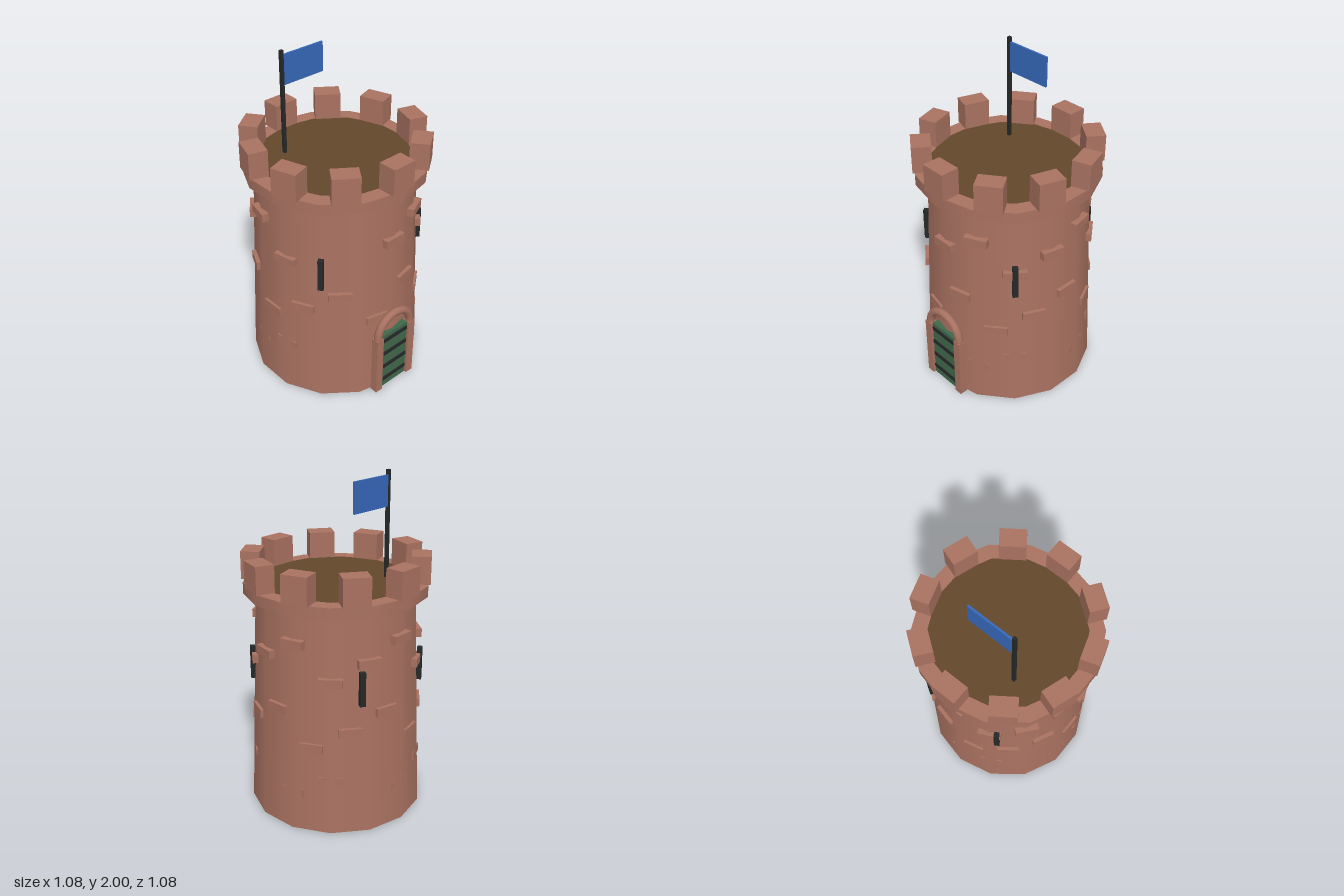
import * as THREE from 'three';

const SIDES = 14;
const STEP = (Math.PI * 2) / SIDES;

function material(name, color) {
  const m = new THREE.MeshStandardMaterial({ color });
  m.name = name;
  return m;
}

export function createModel() {
  const brick = material('brick', 0xa97261);
  const wood = material('floor brown', 0x634729);
  const green = material('door green', 0x40684a);
  const black = material('iron black', 0x262828);
  const blue = material('flag blue', 0x3668ba);

  const tower = new THREE.Group();
  tower.name = 'tower';

  function add(name, geometry, mat, x = 0, y = 0, z = 0, parent = tower) {
    const mesh = new THREE.Mesh(geometry, mat);
    mesh.name = name;
    mesh.position.set(x, y, z);
    parent.add(mesh);
    return mesh;
  }

  // Box between two heights
  function box(name, mat, x, y0, y1, z, w, d, parent) {
    return add(name, new THREE.BoxGeometry(w, y1 - y0, d), mat, x, (y0 + y1) / 2, z, parent);
  }

  // Box facing outward at an angle around the tower, measured from the front
  function around(name, mat, angle, radius, y, w, h, d) {
    const mesh = add(name, new THREE.BoxGeometry(w, h, d), mat,
      Math.sin(angle) * radius, y, Math.cos(angle) * radius);
    mesh.rotation.y = angle;
    return mesh;
  }

  // Tapered wall, parapet ring and roof floor
  add('wall', new THREE.CylinderGeometry(0.467, 0.521, 1.32, SIDES), brick, 0, 0.66, 0);
  add('parapetRing', new THREE.CylinderGeometry(0.537, 0.537, 0.065, SIDES), brick, 0, 1.3475, 0);
  add('roofFloor', new THREE.CylinderGeometry(0.446, 0.446, 0.01, SIDES), wood, 0, 1.377, 0);

  // Merlons
  for (let i = 0; i < 10; i++) {
    around('merlon', brick, (i * Math.PI) / 5, 0.485, 1.46, 0.154, 0.162, 0.112);
  }

  // Raised bricks: height, first place and last place around the wall
  const rows = [
    [0.23, 1, 11], [0.328, 2, 11],
    [0.53, 1.5, 13.5], [0.632, 2.5, 13.5], [0.732, 0.5, 13.5],
    [0.932, 2, 11], [1.036, 0, 11], [1.138, 1, 11],
  ];
  for (const [y, first, last] of rows) {
    for (let k = first; k <= last; k += 3) {
      around('raisedBrick', brick, k * STEP, 0.481, y, 0.135, 0.05, 0.04);
    }
  }

  // Arrow slits
  for (const degrees of [51.4, 149, 211, 308.6]) {
    around('arrowSlit', black, THREE.MathUtils.degToRad(degrees), 0.495, 0.892, 0.032, 0.2, 0.03);
  }

  // Door with iron bands, posts and rounded arch
  const door = new THREE.Group();
  door.name = 'door';
  tower.add(door);
  box('doorPanel', green, 0, 0, 0.405, 0.505, 0.21, 0.04, door);
  for (const y of [0.062, 0.164, 0.266, 0.368]) {
    box('doorBand', black, 0, y - 0.012, y + 0.012, 0.51, 0.2, 0.044, door);
  }
  for (const side of [-1, 1]) {
    box('doorPost', brick, side * 0.13, 0, 0.405, 0.517, 0.05, 0.048, door);
  }
  add('doorArch', new THREE.TorusGeometry(0.13, 0.025, 8, 16, Math.PI), brick, 0, 0.405, 0.517, door);

  // Flag and pole
  box('flagPole', black, -0.203, 1.37, 2, -0.204, 0.019, 0.019);
  box('flag', blue, -0.056, 1.795, 1.972, -0.206, 0.286, 0.012);

  return tower;
}
